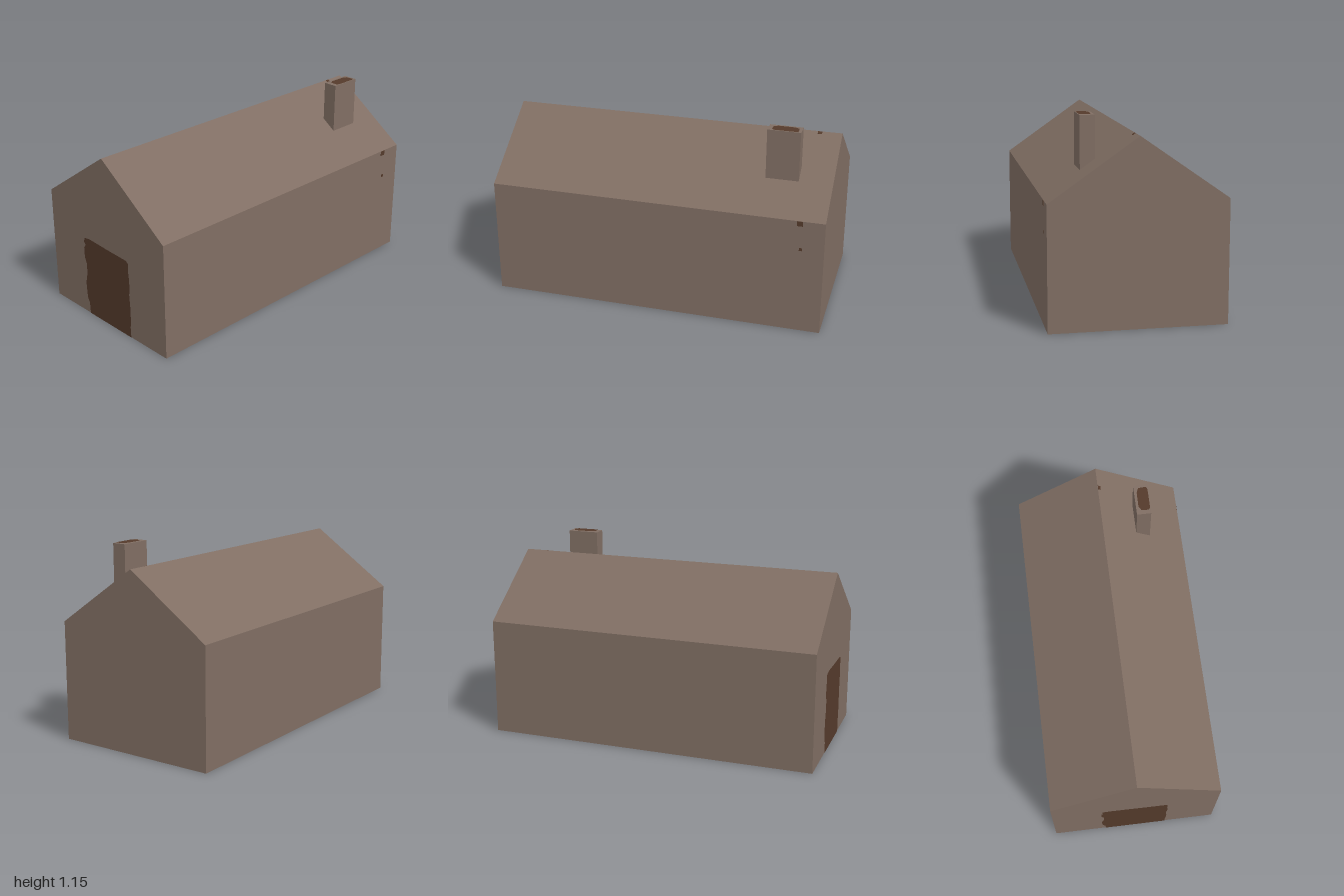
import * as THREE from 'three';

export function createModel() {
  const model = new THREE.Group();
  model.name = 'barn';

  const walls = new THREE.MeshStandardMaterial({ color: 0x806e63 });
  walls.name = 'weathered taupe';
  const dark = new THREE.MeshStandardMaterial({ color: 0x543a2b });
  dark.name = 'dark brown';

  const shapeOf = (points) => new THREE.Shape(points.map(([x, y]) => new THREE.Vector2(x, y)));

  function add(name, geometry, material, x = 0, y = 0, z = 0) {
    const mesh = new THREE.Mesh(geometry, material);
    mesh.name = name;
    mesh.position.set(x, y, z);
    model.add(mesh);
    return mesh;
  }

  // Extrudes an outline in the xy plane from z0 back to front
  const prism = (name, points, z0, depth) => add(name,
    new THREE.ExtrudeGeometry(shapeOf(points), { depth, bevelEnabled: false }), walls, 0, 0, z0);

  // Gabled body: walls, roof slopes and floor in one solid
  prism('houseBody', [[-0.5, 0], [0.5, 0], [0.5, 0.706], [0, 1.056], [-0.5, 0.706]], -1, 2);

  // Chimney, cut at the bottom to follow the roof slope
  prism('chimney', [[0.206, 0.911], [0.291, 0.852], [0.291, 1.15], [0.206, 1.15]], -0.803, 0.193);

  // Painted chimney opening
  const flue = [[0.234, -0.784], [0.281, -0.788], [0.289, -0.77], [0.289, -0.65],
    [0.28, -0.634], [0.236, -0.636], [0.221, -0.66], [0.222, -0.755]];
  add('chimneyOpening', new THREE.ShapeGeometry(shapeOf(flue.map(([x, z]) => [x, -z]))), dark, 0, 1.152, 0)
    .rotation.x = -Math.PI / 2;

  // Painted doorway with a ragged outline
  add('doorway', new THREE.ShapeGeometry(shapeOf([
    [-0.18, 0], [0.197, 0], [0.195, 0.06], [0.2, 0.13], [0.2, 0.2], [0.195, 0.28],
    [0.2, 0.32], [0.2, 0.38], [0.195, 0.42], [0.196, 0.48], [0.18, 0.493], [0, 0.498],
    [-0.08, 0.502], [-0.15, 0.505], [-0.195, 0.498], [-0.206, 0.47], [-0.19, 0.455],
    [-0.206, 0.43], [-0.205, 0.37], [-0.19, 0.33], [-0.19, 0.27], [-0.198, 0.23],
    [-0.206, 0.2], [-0.2, 0.1], [-0.184, 0.07],
  ])), dark, 0, 0, 1.002);

  // Small dark specks on the left wall, the eave and the ridge
  const slope = Math.atan2(0.35, 0.5);
  const speck = (name, w, h, x, y, z, tilt = 0) => {
    add(name, new THREE.BoxGeometry(0.002, h, w), dark, x, y, z).rotation.z = tilt;
  };
  speck('wallSpeck', 0.018, 0.018, 0.5, 0.53, -0.865);
  speck('eaveSpeck', 0.035, 0.03, 0.5, 0.69, -0.855);
  speck('ridgeSpeck', 0.025, 0.018, 0.009, 1.05, -0.87, Math.PI / 2 - slope);

  return model;
}
